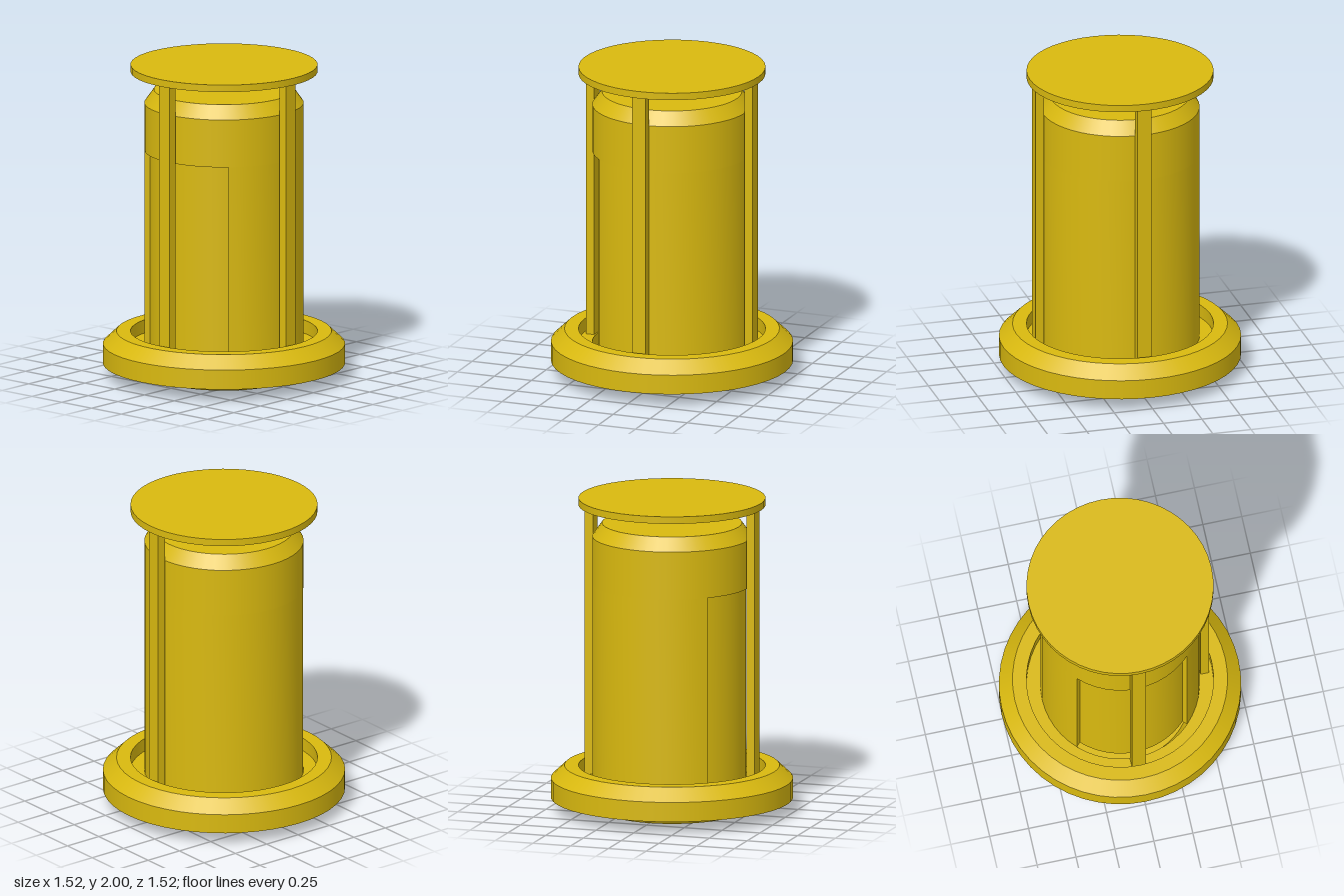
import * as THREE from 'three';
import { mergeGeometries, toCreasedNormals } from 'three/addons/utils/BufferGeometryUtils.js';

const SEG = 48;
const material = new THREE.MeshStandardMaterial({ color: 0xd9b90f, side: THREE.DoubleSide });

// Turned surface, smooth around the axis and sharp at each profile corner
function turned(profile) {
  const bands = [];
  for (let i = 0; i < profile.length - 1; i++) {
    const pair = [profile[i], profile[i + 1]].map(([r, y]) => new THREE.Vector2(r, y));
    bands.push(new THREE.LatheGeometry(pair, SEG));
  }
  return mergeGeometries(bands);
}

export function createModel() {
  const group = new THREE.Group();
  const add = (name, geometry, x = 0, y = 0, z = 0) => {
    const mesh = new THREE.Mesh(geometry, material);
    mesh.name = name;
    mesh.position.set(x, y, z);
    group.add(mesh);
    return mesh;
  };

  const R = 0.5, recessR = 0.465;
  const floorY = 0.2, recessTop = 1.45, capY = 1.955;

  // Body: chamfered ends
  add('bodyBottom', turned([[0, 0], [0.44, 0], [R, 0.08], [R, floorY]]));
  add('bodyTop', turned([[R, recessTop], [R, 1.755], [0.44, 1.84], [0, 1.84]]));

  // Body middle: a quarter of the wall, on the -x side, is set back
  const section = new THREE.Shape();
  section.absarc(0, 0, R, -0.75 * Math.PI, 0.75 * Math.PI, false);
  section.absarc(0, 0, recessR, 0.75 * Math.PI, 1.25 * Math.PI, false);
  section.closePath();
  const middle = new THREE.ExtrudeGeometry(section, {
    depth: recessTop - floorY, bevelEnabled: false, curveSegments: 18,
  });
  middle.rotateX(-Math.PI / 2);
  add('bodyMiddle', toCreasedNormals(middle, 0.5), 0, floorY, 0);

  // Flange: thin shell, open below, with a sunken floor around the body
  add('flange', turned([
    [0.76, 0.08], [0.76, 0.205], [0.675, 0.285], [0.587, 0.285], [0.587, floorY], [R, floorY],
  ]));

  // Cap disc
  add('cap', turned([[0, capY], [0.587, capY], [0.587, 2], [0, 2]]));

  // Three posts between flange and cap: left, front, right
  const postBottom = 0.19, postR = 0.535;
  const post = new THREE.BoxGeometry(0.09, capY - postBottom, 0.055);
  for (const [name, angle] of [['leftPost', Math.PI / 2], ['frontPost', 0], ['rightPost', -Math.PI / 2]]) {
    add(name, post, postR * Math.sin(angle), (capY + postBottom) / 2, postR * Math.cos(angle))
      .rotation.y = angle;
  }

  return group;
}
